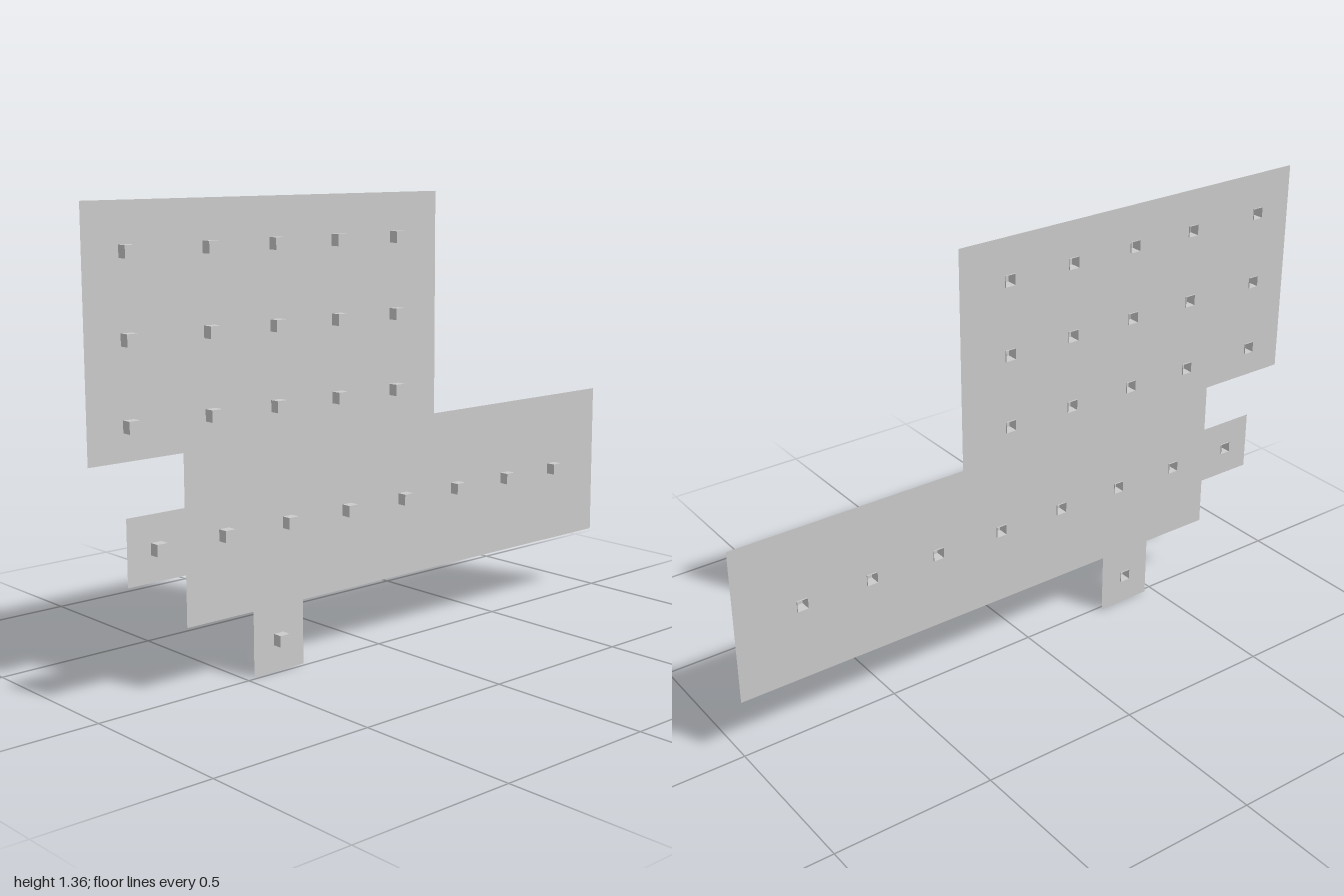
import * as THREE from 'three';

const SIZE = 0.034;      // stud edge length
const PLATE_Z = -0.013;  // plane of the thin plate

export function createModel() {
  const group = new THREE.Group();
  const material = new THREE.MeshStandardMaterial({
    color: 0xcccccc, flatShading: true, side: THREE.DoubleSide,
  });

  // Stud centres: a 5 x 3 grid, a long row of eight and one on the bottom tab
  const centres = [];
  for (const y of [1.23, 1.003, 0.776]) {
    for (const x of [-0.872, -0.607, -0.38, -0.153, 0.073]) centres.push([x, y]);
  }
  for (let i = 0; i < 8; i++) centres.push([-0.795 + i * 0.2263, 0.436]);
  centres.push([-0.38, 0.096]);

  // Plate outline, clockwise from the top left corner
  const outline = [
    [-1, 1.36], [0.243, 1.36], [0.243, 0.682], [1, 0.682], [1, 0.194],
    [-0.288, 0.194], [-0.288, 0], [-0.47, 0], [-0.47, 0.194], [-0.7, 0.194],
    [-0.7, 0.343], [-0.888, 0.343], [-0.888, 0.531], [-0.7, 0.531],
    [-0.7, 0.682], [-1, 0.682],
  ];
  const shape = new THREE.Shape(outline.map(([x, y]) => new THREE.Vector2(x, y)));

  // Square opening behind each hollow stud
  const h = SIZE / 2;
  for (const [x, y] of centres) {
    shape.holes.push(new THREE.Path([
      new THREE.Vector2(x - h, y - h), new THREE.Vector2(x + h, y - h),
      new THREE.Vector2(x + h, y + h), new THREE.Vector2(x - h, y + h),
    ]));
  }
  const plate = new THREE.Mesh(new THREE.ShapeGeometry(shape), material);
  plate.name = 'plate';
  plate.position.z = PLATE_Z;
  group.add(plate);

  // Hollow studs: a cube without its back face
  const studGeometry = new THREE.BoxGeometry(SIZE, SIZE, SIZE);
  studGeometry.setIndex(Array.from(studGeometry.index.array.slice(0, 30)));
  studGeometry.clearGroups();
  const studs = new THREE.Group();
  studs.name = 'studs';
  for (const [x, y] of centres) {
    const stud = new THREE.Mesh(studGeometry, material);
    stud.name = 'stud';
    stud.position.set(x, y, 0);
    studs.add(stud);
  }
  group.add(studs);

  return group;
}
